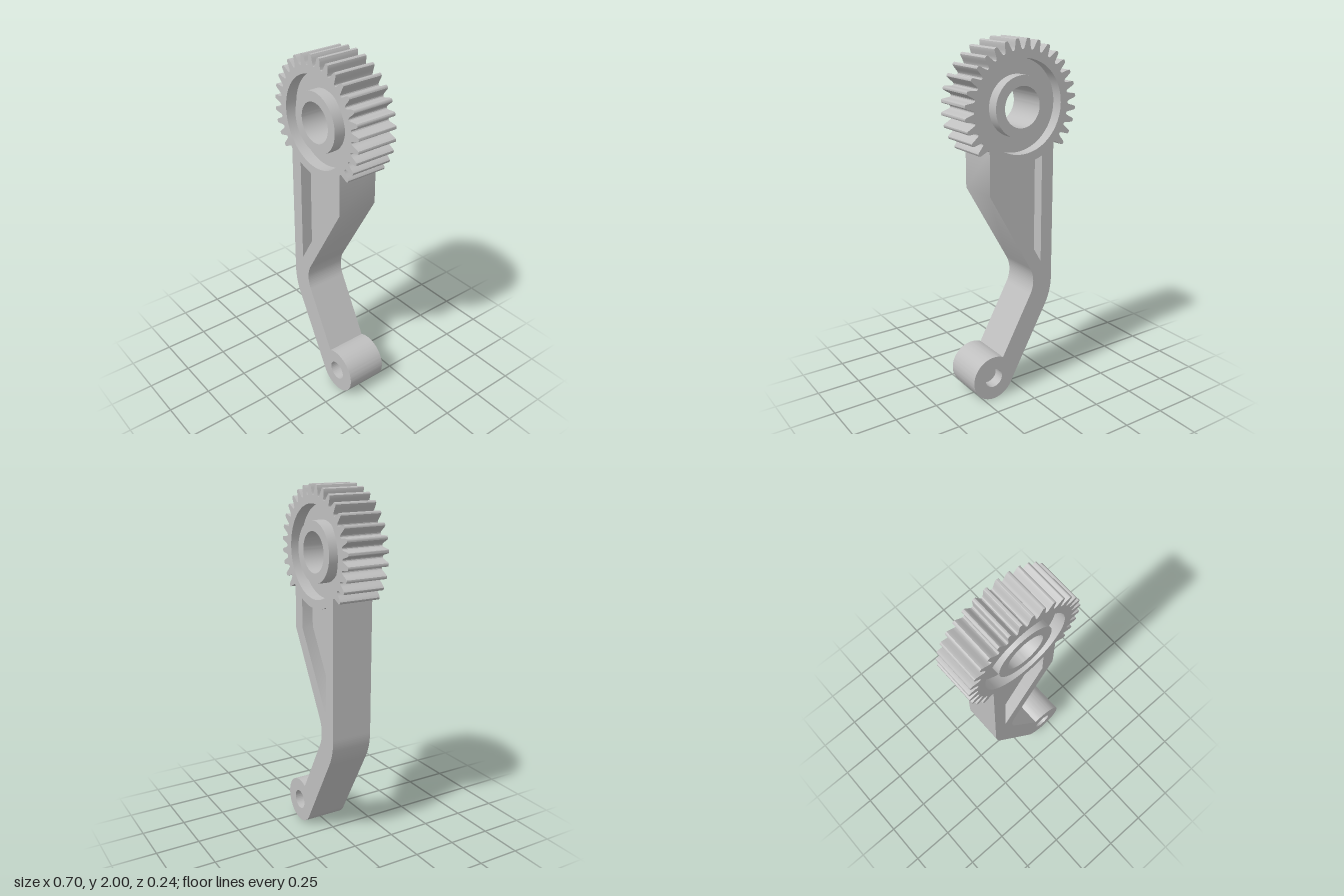
import * as THREE from 'three';
import { toCreasedNormals } from 'three/addons/utils/BufferGeometryUtils.js';

const DEPTH = 0.238;        // overall thickness
const WEB = 0.108;          // thickness of the recessed floors
const GEAR = { x: 0, y: 1.651, root: 0.294, pitch: Math.PI / 16, teeth: 24 };
const BOSS = { x: 0.19, y: 0.13, r: 0.13, hole: 0.055 };
const rad = THREE.MathUtils.degToRad;

function circle(Type, x, y, r) {
  const c = new Type();
  c.absarc(x, y, r, 0, Math.PI * 2, false);
  return c;
}

// Triangular pocket with an arched top that follows the gear
function pocket(Type) {
  const p = new Type();
  const a = Math.asin(0.13 / 0.3);
  p.moveTo(-0.13, 0.77);
  p.lineTo(0.13, 1.215);
  p.absarc(GEAR.x, GEAR.y, 0.3, -Math.PI / 2 + a, -Math.PI / 2 - a, true);
  p.closePath();
  return p;
}

// Whole silhouette: toothed sector, column, bent arm and foot boss
function armOutline() {
  const s = new THREE.Shape();
  s.moveTo(0.205, 1.44);

  // half tooth: [fraction of pitch, radius], mirrored about the tip
  const flank = [[-0.5, GEAR.root], [-0.41, 0.296], [-0.34, 0.302], [-0.28, 0.314],
    [-0.22, 0.329], [-0.165, 0.342], [-0.12, 0.348], [-0.06, 0.35]];
  const tooth = [...flank, ...flank.slice(1).reverse().map(([f, r]) => [-f, r])];
  for (let i = 0; i < GEAR.teeth; i++) {
    for (const [f, r] of tooth) {
      const a = GEAR.pitch * (i - 3.5 + f);
      s.lineTo(GEAR.x + r * Math.cos(a), GEAR.y + r * Math.sin(a));
    }
  }
  s.lineTo(-0.205, 1.44);

  // outer bend, foot, inner bend, slanted shoulder
  s.absarc(0.13, 0.66, 0.335, Math.PI, rad(210), false);
  s.absarc(BOSS.x, BOSS.y, BOSS.r, rad(210), rad(479), false);
  s.absarc(0.08, 0.66, 0.16, rad(210), rad(150), true);
  s.lineTo(0.205, 1.2);
  s.closePath();
  return s;
}

export function createModel() {
  const group = new THREE.Group();
  const grey = new THREE.MeshStandardMaterial({ color: 0xbfbfbf });
  grey.name = 'plain grey';

  function addPlate(name, shape, depth) {
    const geo = new THREE.ExtrudeGeometry(shape, { depth, bevelEnabled: false, curveSegments: 40 });
    geo.translate(0, 0, -depth / 2);
    const mesh = new THREE.Mesh(toCreasedNormals(geo, rad(32)), grey);
    mesh.name = name;
    group.add(mesh);
  }

  // Arm body, cut through where the recesses are
  const body = armOutline();
  body.holes.push(
    circle(THREE.Path, GEAR.x, GEAR.y, 0.25),
    pocket(THREE.Path),
    circle(THREE.Path, BOSS.x, BOSS.y, BOSS.hole),
  );
  addPlate('gearArm', body, DEPTH);

  // Bored hub in the middle of the gear
  const hub = circle(THREE.Shape, GEAR.x, GEAR.y, 0.165);
  hub.holes.push(circle(THREE.Path, GEAR.x, GEAR.y, 0.11));
  addPlate('hub', hub, DEPTH);

  // Thin floors closing the recesses halfway through
  const ring = circle(THREE.Shape, GEAR.x, GEAR.y, 0.25);
  ring.holes.push(circle(THREE.Path, GEAR.x, GEAR.y, 0.165));
  addPlate('gearWeb', ring, WEB);
  addPlate('pocketWeb', pocket(THREE.Shape), WEB);
  addPlate('footHoleFloor', circle(THREE.Shape, BOSS.x, BOSS.y, BOSS.hole), WEB);

  return group;
}
